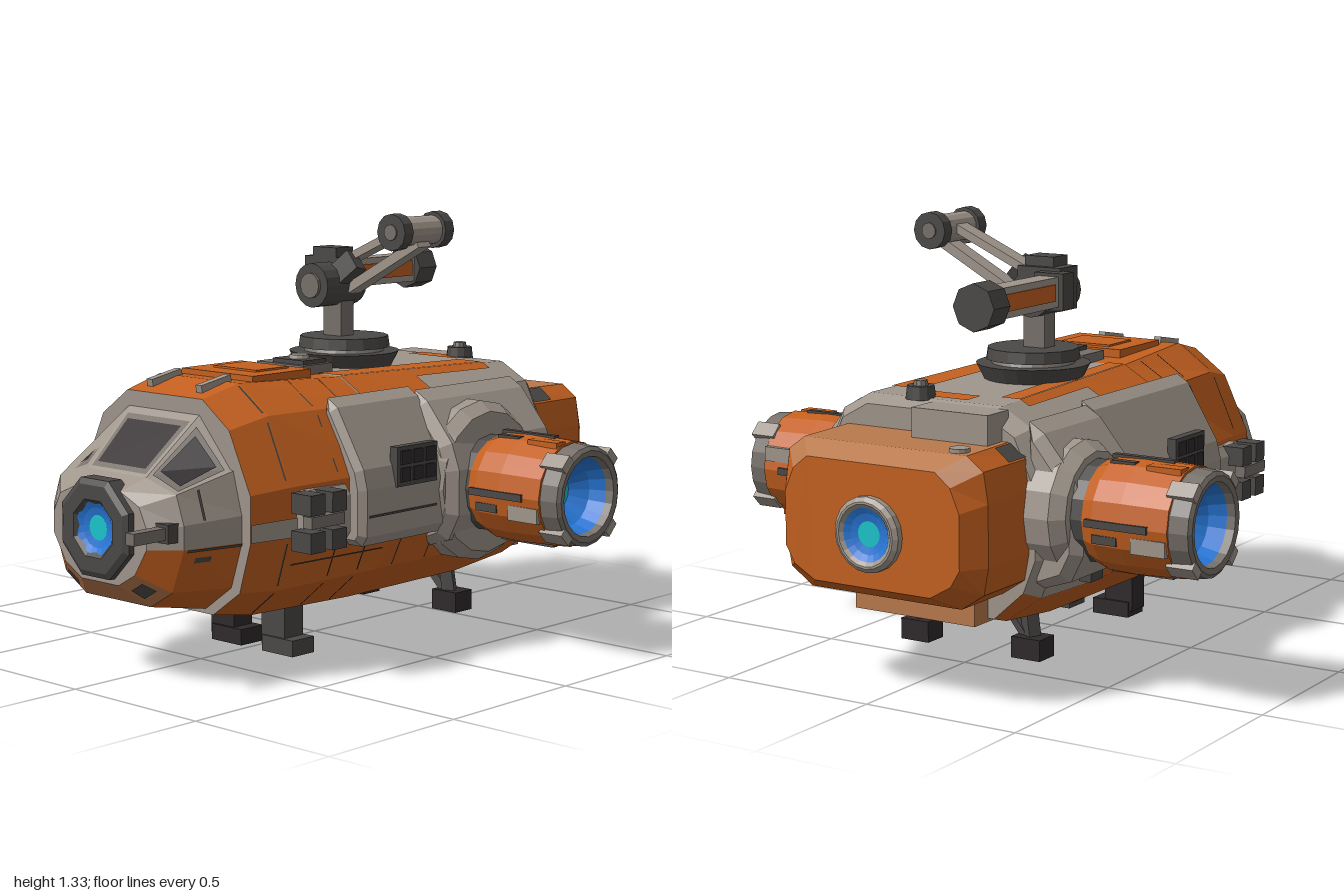
import * as THREE from 'three';

const mat = (name, color) => Object.assign(new THREE.MeshStandardMaterial({ color }), { name });
const M = {
  orange: mat('orange paint', 0xc4601f),
  pale: mat('faded orange paint', 0xb9794c),
  grey: mat('warm grey armour', 0x9f958b),
  mid: mat('worn grey metal', 0x77706a),
  dark: mat('dark metal', 0x4b4947),
  black: mat('black glass', 0x2f292b),
  blue: mat('blue glow', 0x2878d8),
  cyan: mat('cyan glow', 0x1cc4cc),
};

// Faceted mesh
function mesh(name, geo, material, x = 0, y = 0, z = 0) {
  const g = geo.index ? geo.toNonIndexed() : geo;
  g.computeVertexNormals();
  const m = new THREE.Mesh(g, material);
  m.name = name;
  m.position.set(x, y, z);
  return m;
}
const box = (name, m, x, y, z, w, h, d) => mesh(name, new THREE.BoxGeometry(w, h, d), m, x, y, z);
const cyl = (name, m, x, y, z, r0, r1, h, n = 16) => mesh(name, new THREE.CylinderGeometry(r1, r0, h, n), m, x, y, z);
const lathe = (name, m, pts, n = 20, start = 0) =>
  mesh(name, new THREE.LatheGeometry(pts.map(p => new THREE.Vector2(...p)), n, start), m);

// Bar with rectangular section between two points
function bar(name, m, a, b, w, h = w) {
  const A = new THREE.Vector3(...a), B = new THREE.Vector3(...b), d = B.clone().sub(A);
  const o = mesh(name, new THREE.BoxGeometry(w, d.length(), h), m);
  o.position.copy(A).add(B).multiplyScalar(0.5);
  o.quaternion.setFromUnitVectors(new THREE.Vector3(0, 1, 0), d.normalize());
  return o;
}

// Section: z and a half profile from top to bottom, mirrored into a closed ring
const ring = ([z, ...h]) => [...h.map(p => [p[0], p[1], z]), ...h.slice().reverse().map(p => [-p[0], p[1], z])];

// Loft through sections front to back; paint(section, side) picks a colour (side -1 top, 0-4 flank, 5 bottom)
function loft(name, secs, paint, capMat) {
  const rings = secs.map(ring), lists = new Map();
  const add = (m, ...pts) => { if (!lists.has(m)) lists.set(m, []); pts.forEach(p => lists.get(m).push(...p)); };
  for (let i = 0; i < rings.length - 1; i++) for (let k = 0; k < 12; k++) {
    const n = (k + 1) % 12, a = rings[i][k], b = rings[i][n], c = rings[i + 1][n], d = rings[i + 1][k];
    add(paint(i, k === 11 ? -1 : k > 5 ? 10 - k : k), a, b, c, a, c, d);
  }
  const F = rings[0], B = rings[rings.length - 1];
  for (let j = 1; j < 11; j++) { add(capMat, F[0], F[j + 1], F[j]); add(capMat, B[0], B[j], B[j + 1]); }
  const geo = new THREE.BufferGeometry(), all = [], mats = [];
  for (const [m, l] of lists) {
    geo.addGroup(all.length / 3, l.length / 3, mats.length);
    mats.push(m);
    for (const v of l) all.push(v);
  }
  geo.setAttribute('position', new THREE.Float32BufferAttribute(all, 3));
  return mesh(name, geo, mats);
}

// Thin painted plate on a lofted face: u runs front to back, v along the profile
function plate(name, m, secs, i, k, u0, u1, v0, v1, off = 0.004) {
  const A = ring(secs[i]), B = ring(secs[i + 1]), n = (k + 1) % 12;
  const V = p => new THREE.Vector3(...p);
  const P = (u, v) => V(A[k]).lerp(V(A[n]), v).lerp(V(B[k]).lerp(V(B[n]), v), u);
  const q = [P(u0, v0), P(u0, v1), P(u1, v1), P(u1, v0)];
  const nor = q[2].clone().sub(q[0]).cross(q[3].clone().sub(q[1])).normalize().multiplyScalar(off);
  q.forEach(p => p.add(nor));
  return mesh(name, new THREE.BufferGeometry().setFromPoints([q[0], q[1], q[2], q[0], q[2], q[3]]), m);
}
const plates = (name, m, s, i, k, u0, u1, v0, v1, off) =>
  [plate(name, m, s, i, k, u0, u1, v0, v1, off), plate(name, m, s, i, 10 - k, u0, u1, 1 - v1, 1 - v0, off)];

// Glowing lamp facing +y: rim radius r, bowl radius b
function lamp(name, r, b, rim, n, start = 0) {
  const g = new THREE.Group();
  g.name = name;
  g.add(lathe('lampRim', rim, [[r, -0.03], [r, 0.02], [r * 0.88, 0.03], [b * 1.2, 0.03], [b * 0.98, 0.015]], n, start));
  g.add(lathe('lampBowl', M.blue, [[b * 1.05, 0.022], [b * 0.8, 0.012], [b * 0.4, 0.004]], 20));
  g.add(lathe('lampCore', M.cyan, [[b * 0.5, 0.008], [0, 0.008]], 20));
  return g;
}

// Slab with an x-y outline extruded from z0 to z1 and bevelled, built on one side
function slab(name, m, s, pts, z0, z1, b = 0.02) {
  const shape = new THREE.Shape(pts.map(p => new THREE.Vector2(p[0] * s, p[1])));
  return mesh(name, new THREE.ExtrudeGeometry(shape, { depth: z1 - z0 - 2 * b, bevelEnabled: true, bevelSize: b, bevelThickness: b, bevelOffset: -b, bevelSegments: 1 }), m, 0, 0, z0 + b);
}

function engine(s, y, z) {
  const g = new THREE.Group();
  g.name = s > 0 ? 'leftEngine' : 'rightEngine';
  g.position.set(s * 0.44, y, z);
  g.rotation.z = -s * Math.PI / 2;
  const r = s > 0 ? 0.25 : 0.2;
  g.add(lathe('engineFairing', M.grey, [[r, -0.1], [r, -0.01], [r - 0.03, 0.03], [0.14, 0.035]], 16));
  g.add(lathe('engineMount', M.dark, [[0.15, -0.05], [0.15, 0.08]], 16));
  g.add(lathe('engineCasing', M.orange, [[0.1, 0.065], [0.148, 0.065], [0.165, 0.11], [0.168, 0.2], [0.162, 0.35], [0.14, 0.35]], 16));
  g.add(lathe('engineNozzle', M.mid, [[0.15, 0.34], [0.157, 0.355], [0.152, 0.41], [0.14, 0.418], [0.122, 0.415], [0.115, 0.37]], 20));
  g.add(lathe('engineBowl', M.blue, [[0.118, 0.39], [0.1, 0.34], [0.05, 0.29]], 20));
  g.add(lathe('engineCore', M.cyan, [[0.055, 0.295], [0, 0.295]], 20));
  for (let i = 0; i < 8; i++) {
    const arm = new THREE.Group();
    arm.name = 'engineTrim';
    arm.rotation.y = i * Math.PI / 4;
    if (i % 2) arm.add(box('nozzleClamp', M.grey, 0, 0.375, 0.155, 0.05, 0.085, 0.025));
    else {
      arm.add(box('casingSlot', M.dark, 0, 0.19, 0.165, 0.022, 0.2, 0.012));
      arm.add(box('casingPlate', i % 4 ? M.orange : M.grey, 0.05, 0.29, 0.153, 0.045, 0.11, 0.018));
      arm.add(box('casingVent', M.dark, 0.045, 0.15, 0.158, 0.025, 0.08, 0.01));
    }
    g.add(arm);
  }
  return g;
}

export function createModel() {
  const root = new THREE.Group();
  root.name = 'utilityShip';
  const add = (...o) => root.add(...o);

  // Main hull
  const hull = [
    [0.64, [0.16, 0.82], [0.27, 0.74], [0.355, 0.56], [0.355, 0.42], [0.31, 0.27], [0.2, 0.19]],
    [0.5, [0.17, 0.855], [0.29, 0.77], [0.38, 0.57], [0.38, 0.42], [0.33, 0.26], [0.22, 0.17]],
    [0.1, [0.2, 0.84], [0.32, 0.77], [0.43, 0.58], [0.43, 0.42], [0.36, 0.27], [0.24, 0.165]],
    [-0.4, [0.22, 0.83], [0.33, 0.77], [0.43, 0.6], [0.43, 0.42], [0.36, 0.27], [0.24, 0.17]],
    [-0.64, [0.23, 0.825], [0.33, 0.77], [0.41, 0.6], [0.41, 0.4], [0.36, 0.28], [0.24, 0.195]],
    [-0.69, [0.21, 0.8], [0.3, 0.75], [0.37, 0.6], [0.37, 0.4], [0.33, 0.3], [0.23, 0.21]]];
  add(loft('hull', hull, (i, k) => i < 2 ? M.orange : k >= 4 ? M.orange : k === 3 && i < 3 ? M.orange : M.grey, M.grey));
  for (const i of [0, 1]) add(...plates('flankStripe', M.grey, hull, i, 2, 0, 1, 0.6, 0.98));
  add(...plates('shoulderPaint', M.orange, hull, 2, 0, 0, 0.6, 0, 1));
  add(...plates('shoulderStripe', M.orange, hull, 2, 0, 0.6, 1, 0, 0.3), ...plates('shoulderStripe', M.orange, hull, 3, 0, 0, 0.6, 0, 0.3));
  for (const [v0, v1] of [[0, 0.14], [0.78, 1]]) {
    add(plate('deckStripe', M.orange, hull, 2, 11, 0, 1, v0, v1), plate('deckStripe', M.orange, hull, 3, 11, 0, 0.6, v0, v1));
  }
  add(plate('deckPatch', M.orange, hull, 3, 11, 0.65, 0.95, 0.28, 0.74));
  // Panel seams
  for (const [i, u] of [[0, 0.9], [1, 0.45], [1, 0.75]]) for (const k of [0, 1, 3, 4])
    add(...plates('panelSeam', M.dark, hull, i, k, u, u + (i ? 0.012 : 0.04), 0.08, 0.9, 0.003));
  for (const v of [0.03, 0.5]) add(...plates('panelSeam', M.dark, hull, 1, 3, 0.05, 0.95, v, v + 0.03, 0.003));
  for (const u of [0.1, 0.4, 0.7]) add(...plates('panelSeam', M.dark, hull, 2, 3, u, u + 0.01, 0.05, 0.95, 0.003));

  // Nose and cockpit
  const nose = [
    [0.9, [0.09, 0.575], [0.17, 0.54], [0.2, 0.48], [0.2, 0.42], [0.15, 0.34], [0.08, 0.3]],
    [0.83, [0.125, 0.61], [0.25, 0.575], [0.28, 0.49], [0.28, 0.42], [0.23, 0.29], [0.14, 0.235]],
    [0.62, [0.15, 0.79], [0.29, 0.63], [0.325, 0.5], [0.325, 0.42], [0.28, 0.28], [0.17, 0.2]]];
  add(loft('nose', nose, (i, k) => k === 3 || (i && k > 3) ? M.orange : k > 3 ? M.pale : M.grey, M.grey));
  add(plate('windscreenFrame', M.mid, nose, 1, 11, 0.04, 0.8, 0.04, 0.96, 0.002), plate('windscreen', M.black, nose, 1, 11, 0.1, 0.72, 0.1, 0.9));
  add(...plates('sideWindowFrame', M.mid, nose, 1, 0, 0.06, 0.8, 0.1, 0.94, 0.003), ...plates('sideWindow', M.black, nose, 1, 0, 0.14, 0.72, 0.2, 0.84, 0.006));
  add(...plates('noseSeam', M.dark, nose, 1, 3, 0.05, 0.9, 0.0, 0.06), ...plates('noseSlot', M.dark, nose, 1, 3, 0.2, 0.45, 0.2, 0.32));
  add(...plates('noseSeam', M.dark, nose, 1, 1, 0.3, 0.34, 0.1, 0.95), ...plates('chinSlot', M.dark, nose, 0, 4, 0.3, 0.7, 0.2, 0.8));
  const headlamp = lamp('headlamp', 0.155, 0.075, M.dark, 8, Math.PI / 8);
  headlamp.position.set(0.005, 0.46, 0.9);
  headlamp.rotation.x = Math.PI / 2;
  add(headlamp);
  add(bar('noseProbe', M.mid, [0.24, 0.47, 0.8], [0.24, 0.47, 1.0], 0.035), bar('probeBase', M.dark, [0.24, 0.47, 0.78], [0.24, 0.47, 0.88], 0.055));

  // Side armour, grapples and engines
  for (const s of [1, -1]) {
    const split = s > 0 ? -0.08 : -0.3;
    add(slab('frontArmour', M.grey, s, [[0.3, 0.8], [0.34, 0.775], [0.445, 0.6], [0.46, 0.54], [0.46, 0.4], [0.44, 0.37], [0.3, 0.37]], split - 0.04, 0.28));
    add(slab('rearArmour', M.grey, s, [[0.32, 0.79], [0.37, 0.76], [0.47, 0.64], [0.5, 0.56], [0.5, 0.42], [0.46, 0.34], [0.34, 0.3]], s > 0 ? -0.6 : -0.67, split, 0.03));
    add(box('lowerVent', M.dark, s * 0.4, 0.33, -0.43, 0.04, 0.07, 0.07));
    add(box('ventFrame', M.dark, s * 0.452, 0.595, 0.045, 0.03, 0.12, 0.18));
    for (let i = 0; i < 6; i++) add(box('ventPane', M.black, s * 0.468, i < 3 ? 0.622 : 0.57, 0.1 - (i % 3) * 0.055, 0.008, 0.042, 0.042));
    add(box('armourSeam', M.dark, s * 0.461, 0.46, 0.1, 0.006, 0.006, 0.3));
    add(slab('grappleBase', M.grey, s, [[0.34, 0.56], [0.41, 0.56], [0.43, 0.53], [0.43, 0.42], [0.41, 0.39], [0.34, 0.39]], 0.28, 0.48));
    for (const [y, z] of [[0.53, 0.49], [0.42, 0.49], [0.53, 0.4], [0.42, 0.4]]) add(box('grappleClaw', M.dark, s * 0.44, y, z, 0.08, 0.06, 0.06));
    add(bar('grappleArm', M.mid, [s * 0.465, 0.48, 0.38], [s * 0.465, 0.48, 0.52], 0.035));
    add(engine(s, s > 0 ? 0.5 : 0.53, s > 0 ? -0.29 : -0.52));

    // Landing gear
    const fx = s > 0 ? 0.1 : -0.12, legMat = s > 0 ? M.dark : M.black;
    add(box('frontLeg', legMat, fx, 0.1, 0.25, 0.1, 0.16, 0.08), box('frontFoot', legMat, fx + 0.025, 0.025, 0.25, 0.13, 0.05, 0.095));
    add(bar('rearLeg', M.dark, [s * 0.18, 0.19, -0.425], [s * 0.2, 0.06, -0.43], 0.04));
    add(box('rearFoot', M.black, s * 0.2, 0.065, -0.435, 0.1, 0.065, 0.08));
    add(bar('rearStrut', M.dark, [s * 0.1, 0.18, -0.42], [s * 0.18, 0.09, -0.43], 0.025));
    add(bar('deckClip', M.grey, [s * 0.105, 0.862, 0.48], [s * 0.105, 0.84, 0.6], 0.025));
  }

  // Rear block
  const rear = [
    [-0.64, [0.28, 0.735], [0.335, 0.69], [0.35, 0.6], [0.35, 0.42], [0.335, 0.34], [0.26, 0.29]],
    [-0.9, [0.28, 0.73], [0.335, 0.69], [0.35, 0.6], [0.35, 0.42], [0.335, 0.34], [0.26, 0.29]],
    [-0.97, [0.22, 0.69], [0.27, 0.65], [0.3, 0.58], [0.3, 0.42], [0.27, 0.37], [0.2, 0.33]]];
  add(loft('rearBlock', rear, (i, k) => k < 0 || (i && k < 1) ? M.pale : M.orange, M.orange));
  add(...plates('rearDarkBand', M.dark, rear, 0, 0, 0.1, 0.5, 0.1, 0.95));
  add(box('rearBelly', M.pale, 0, 0.25, -0.69, 0.42, 0.1, 0.14), box('rearDeckFlap', M.grey, -0.13, 0.775, -0.71, 0.26, 0.09, 0.11));
  add(cyl('rearHatch', M.grey, -0.23, 0.735, -0.86, 0.03, 0.03, 0.014, 12));
  const tail = lamp('tailLamp', 0.11, 0.075, M.grey, 20);
  tail.position.set(0, 0.49, -0.97);
  tail.rotation.x = -Math.PI / 2;
  add(tail);

  // Deck fittings
  add(box('deckPanel', M.orange, 0.02, 0.855, 0.32, 0.3, 0.03, 0.25), box('deckPanelRaised', M.orange, 0.02, 0.866, 0.3, 0.18, 0.02, 0.14));
  add(box('hatchBase', M.mid, 0.01, 0.85, 0.1, 0.2, 0.04, 0.13), box('hatchLid', M.dark, 0.03, 0.868, 0.1, 0.13, 0.03, 0.1), cyl('hatchKnob', M.grey, 0.03, 0.885, 0.1, 0.035, 0.03, 0.02, 12));
  add(cyl('beaconBase', M.dark, 0.06, 0.84, -0.63, 0.045, 0.04, 0.04, 12), cyl('beacon', M.mid, 0.06, 0.865, -0.63, 0.025, 0.02, 0.02, 10));

  // Crane on its turntable
  const crane = new THREE.Group();
  crane.name = 'crane';
  root.add(crane);
  crane.add(cyl('turntableBase', M.dark, -0.05, 0.853, -0.19, 0.15, 0.175, 0.05, 24), cyl('turntableRing', M.mid, -0.05, 0.883, -0.19, 0.13, 0.12, 0.02, 24),
    cyl('turntableTop', M.dark, -0.05, 0.908, -0.19, 0.145, 0.14, 0.035, 16));
  crane.add(box('mast', M.mid, -0.065, 0.985, -0.18, 0.075, 0.14, 0.06), box('shoulder', M.dark, -0.1, 1.11, -0.19, 0.15, 0.13, 0.1), box('shoulderCap', M.dark, -0.09, 1.18, -0.18, 0.1, 0.05, 0.08));
  const across = (name, m, x, y, z, r, len, n) => { const c = cyl(name, m, x, y, z, r, r, len, n); c.rotation.x = Math.PI / 2; return c; };
  crane.add(across('shoulderJoint', M.dark, -0.07, 1.09, -0.15, 0.07, 0.18, 16), across('shoulderHub', M.mid, -0.07, 1.09, -0.06, 0.04, 0.02, 12));
  crane.add(bar('armUpperRod', M.grey, [-0.04, 1.16, -0.19], [0.24, 1.285, -0.19], 0.025, 0.06), bar('armLowerRod', M.grey, [-0.06, 1.05, -0.19], [0.28, 1.235, -0.19], 0.03, 0.06));
  crane.add(bar('armBrace', M.dark, [-0.07, 1.08, -0.13], [0.03, 1.17, -0.16], 0.07, 0.05));
  crane.add(across('armTip', M.grey, 0.25, 1.27, -0.19, 0.045, 0.2, 14));
  for (const z of [-0.095, -0.285]) crane.add(across('armTipCap', M.dark, 0.25, 1.27, z, 0.057, 0.04, 12), across('armTipHub', M.mid, 0.25, 1.27, z, 0.025, 0.05, 10));
  crane.add(bar('boom', M.grey, [-0.16, 1.11, -0.2], [-0.16, 1.11, -0.62], 0.07, 0.09));
  crane.add(box('boomStripe', M.orange, -0.16, 1.11, -0.45, 0.078, 0.05, 0.3), box('boomCollar', M.dark, -0.16, 1.11, -0.25, 0.1, 0.11, 0.06));
  crane.add(across('boomHead', M.dark, -0.17, 1.11, -0.655, 0.07, 0.085, 8));
  return root;
}
